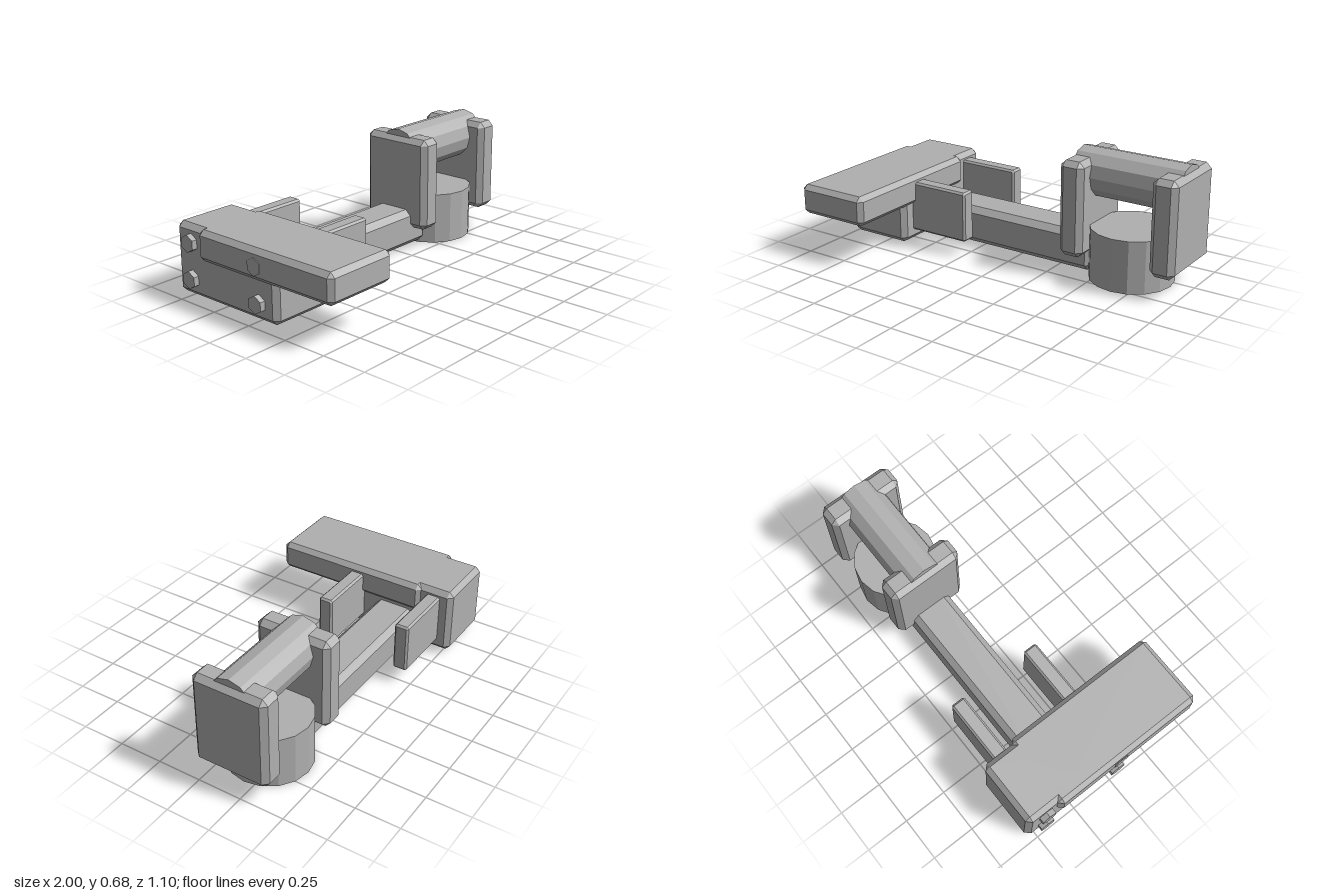
import * as THREE from 'three';
import { ConvexGeometry } from 'three/addons/geometries/ConvexGeometry.js';

const AXIS_Z = -0.193; // centre line of the arm, base and fork

// Box between two corners with every edge chamfered by b
function chamferBox([x0, y0, z0], [x1, y1, z1], b) {
  const h = [(x1 - x0) / 2, (y1 - y0) / 2, (z1 - z0) / 2];
  const points = [];
  for (const sx of [-1, 1]) for (const sy of [-1, 1]) for (const sz of [-1, 1]) {
    for (let face = 0; face < 3; face++) {
      const e = h.map((v, i) => (i === face ? v : v - b));
      points.push(new THREE.Vector3(sx * e[0], sy * e[1], sz * e[2]));
    }
  }
  return new ConvexGeometry(points).translate((x0 + x1) / 2, (y0 + y1) / 2, (z0 + z1) / 2);
}

// Cylinder lying along x, with a corner pointing up
function rodX(x0, x1, y, z, radius, sides) {
  return new THREE.CylinderGeometry(radius, radius, x1 - x0, sides)
    .rotateY(Math.PI / 2).rotateZ(Math.PI / 2).translate((x0 + x1) / 2, y, z);
}

export function createModel() {
  const model = new THREE.Group();
  const grey = new THREE.MeshStandardMaterial({ color: 0xb0b0b0, flatShading: true });
  grey.name = 'grey';

  const add = (name, geometry) => {
    const mesh = new THREE.Mesh(geometry, grey);
    mesh.name = name;
    model.add(mesh);
  };

  // Round base and the long arm running from it
  add('base', new THREE.CylinderGeometry(0.23, 0.23, 0.29, 16).translate(0.66, 0.145, AXIS_Z));
  add('arm', chamferBox([-0.76, 0.017, -0.317], [0.47, 0.23, -0.077], 0.033));

  // Fork cheeks with the roller held between them
  for (const [name, x0, x1] of [['innerCheek', 0.326, 0.465], ['outerCheek', 0.857, 0.998]]) {
    add(name, chamferBox([x0, 0.123, -0.408], [x1, 0.648, 0.022], 0.03));
  }
  add('roller', rodX(0.352, 0.972, 0.553, AXIS_Z, 0.131, 12));

  // End block with the wide slab overhanging its front
  add('endBlock', chamferBox([-0.97, 0.026, -0.55], [-0.59, 0.41, 0.167], 0.028));
  add('slab', chamferBox([-0.996, 0.244, -0.362], [-0.568, 0.41, 0.55], 0.026));

  // Pair of side plates, each with two bolts on the block's end
  for (const [side, z] of [['back', -0.435], ['front', 0.046]]) {
    add(side + 'Plate', chamferBox([-0.7, 0.087, z - 0.042], [-0.23, 0.372, z + 0.042], 0.011));
    for (const [level, y] of [['Upper', 0.318], ['Lower', 0.122]]) {
      add(side + level + 'Bolt', rodX(-1, -0.9, y, z, 0.048, 6));
    }
  }

  return model;
}
